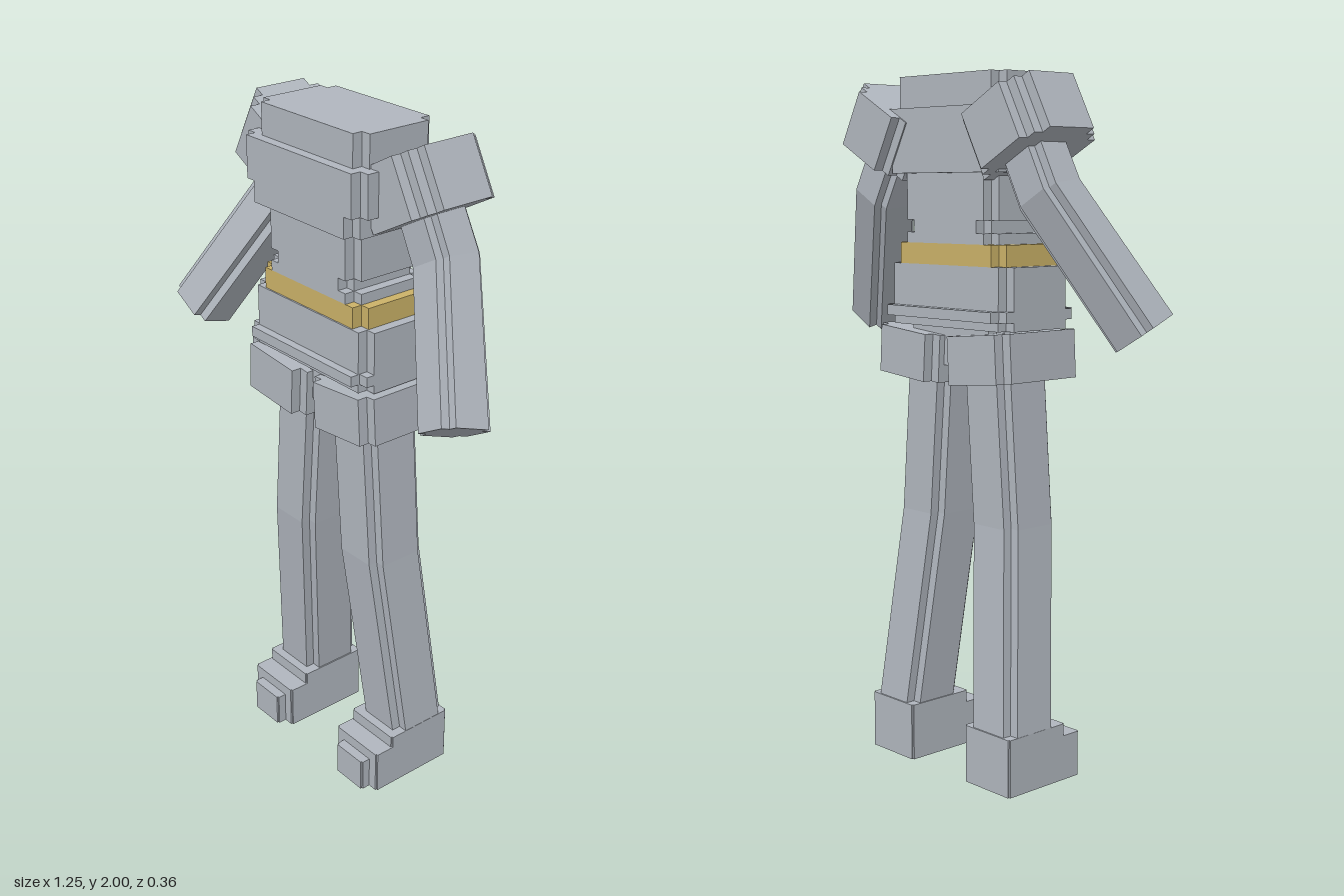
import * as THREE from 'three';

const V = (x, y, z) => new THREE.Vector3(x, y, z);

// Rectangle outline whose corners are cut back in square steps
function notched(hx, hz, step, count = 1) {
  const corner = [];
  for (let k = 0; k <= count; k++) {
    corner.push([hx - k * step, hz - (count - k) * step]);
    if (k < count) corner.push([hx - (k + 1) * step, hz - (count - k) * step]);
  }
  const flip = (sx, sz) => corner.map(([a, b]) => [a * sx, b * sz]);
  return [...flip(1, 1), ...flip(-1, 1).reverse(), ...flip(-1, -1), ...flip(1, -1).reverse()];
}

// Capped solid through rings { c, u, w } listed from bottom to top
function loft(rings, outline) {
  const first = rings[0], last = rings[rings.length - 1];
  const rise = last.c.clone().sub(first.c);
  const path = first.u.clone().cross(first.w).dot(rise) > 0 ? [...outline].reverse() : outline;
  const pts = rings.map(r => path.map(([a, b]) =>
    r.c.clone().addScaledVector(r.u, a).addScaledVector(r.w, b)));
  const pos = [], n = path.length;
  const tri = (...p) => p.forEach(q => pos.push(q.x, q.y, q.z));
  for (let i = 0; i < n; i++) {
    const j = (i + 1) % n;
    for (let k = 0; k + 1 < pts.length; k++) {
      const lo = pts[k], up = pts[k + 1];
      tri(lo[i], up[i], up[j]);
      tri(lo[i], up[j], lo[j]);
    }
    tri(first.c, pts[0][i], pts[0][j]);
    tri(last.c, pts[pts.length - 1][j], pts[pts.length - 1][i]);
  }
  const g = new THREE.BufferGeometry();
  g.setAttribute('position', new THREE.Float32BufferAttribute(pos, 3));
  g.computeVertexNormals();
  return g;
}

// Upright block with notched corners
function block(x0, x1, y0, y1, z0, z1, step = 0.03) {
  const cx = (x0 + x1) / 2, cz = (z0 + z1) / 2;
  const rings = [y0, y1].map(y => ({ c: V(cx, y, cz), u: V(1, 0, 0), w: V(0, 0, 1) }));
  return loft(rings, notched((x1 - x0) / 2, (z1 - z0) / 2, step));
}

export function createModel() {
  const steel = new THREE.MeshStandardMaterial({ color: 0xb0b6be });
  steel.name = 'steel grey';
  const gold = new THREE.MeshStandardMaterial({ color: 0xcbb268 });
  gold.name = 'belt gold';
  const model = new THREE.Group();
  model.name = 'armour';
  const add = (name, geometry, material = steel) => {
    const mesh = new THREE.Mesh(geometry, material);
    mesh.name = name;
    model.add(mesh);
  };

  // Torso, from collar to hips
  add('upperChest', block(-0.23, 0.21, 1.73, 2, -0.12, 0.135));
  add('chestPlate', block(-0.26, 0.24, 1.79, 1.91, -0.15, 0.165));
  add('lowerChestPlate', block(-0.23, 0.21, 1.73, 1.79, -0.15, 0.165));
  add('waist', block(-0.2, 0.18, 1.6, 1.73, -0.12, 0.135));
  add('waistGap', block(-0.17, 0.15, 1.565, 1.6, -0.12, 0.135));
  add('waistRim', block(-0.2, 0.18, 1.535, 1.565, -0.12, 0.135));
  add('belt', block(-0.23, 0.21, 1.475, 1.535, -0.12, 0.135), gold);
  add('hips', block(-0.26, 0.24, 1.3, 1.475, -0.12, 0.14));
  add('hipRidge', block(-0.26, 0.24, 1.325, 1.355, -0.148, 0.165));
  add('pelvis', block(-0.2, 0.18, 1.19, 1.3, -0.1, 0.11));

  for (const s of [1, -1]) {
    const side = s > 0 ? 'left' : 'right';
    const P = (x, y, z) => V(s * x - 0.005, y, z);
    const D = (x, y, z) => V(s * x, y, z);
    const flat = (x, y, z) => ({ c: P(x, y, z), u: D(1, 0, 0), w: V(0, 0, 1) });

    // Shoulder guard, tilted with the arm
    const across = D(0.88, 0.475, 0), guard = P(0.258, 1.85, -0.042);
    const armUp = D(-0.475, 0.88, 0);
    add(side + 'ShoulderGuard', loft([-0.083, 0.083].map(t => ({
      c: guard.clone().addScaledVector(armUp, t), u: across, w: V(0, 0, 1),
    })), notched(0.142, 0.142, 0.03, 2)));

    // Arm, bent forward at the elbow
    add(side + 'Arm', loft([
      { c: P(0.553, 1.305, 0.105), u: D(0.872, 0.489, 0), w: D(-0.165, 0.294, 0.94) },
      { c: P(0.345, 1.67, -0.045), u: D(0.872, 0.489, 0), w: D(-0.06, 0.1, 0.93) },
      { c: P(0.25, 1.85, -0.045), u: across, w: V(0, 0, 0.9) },
    ], notched(0.075, 0.078, 0.026)));

    // Skirt half, tilted with the thigh
    const tilt = D(0.996, 0.09, 0);
    add(side + 'Skirt', loft([
      { c: P(0.151, 1.151, 0.006), u: tilt, w: V(0, 0, 1) },
      { c: P(0.143, 1.287, 0.006), u: tilt, w: V(0, 0, 1) },
    ], notched(0.127, 0.155, 0.03)));

    // Leg, bent back at the knee
    add(side + 'Leg', loft([
      flat(0.21, 0.16, -0.047), flat(0.155, 0.745, 0.005), flat(0.119, 1.22, 0.005),
    ], notched(0.09, 0.094, 0.028)));

    // Boot, stepping down to the toe
    const bootBlock = (name, x0, x1, y1, z0, z1, step) => {
      const xs = [s * x0 - 0.005, s * x1 - 0.005].sort((a, b) => a - b);
      add(side + name, block(xs[0], xs[1], 0, y1, z0, z1, step));
    };
    bootBlock('Heel', 0.115, 0.3, 0.168, -0.145, 0.075, 0.005);
    bootBlock('Instep', 0.115, 0.3, 0.132, -0.1, 0.135, 0.005);
    bootBlock('Toe', 0.148, 0.267, 0.1, 0, 0.165, 0.005);
  }
  return model;
}
